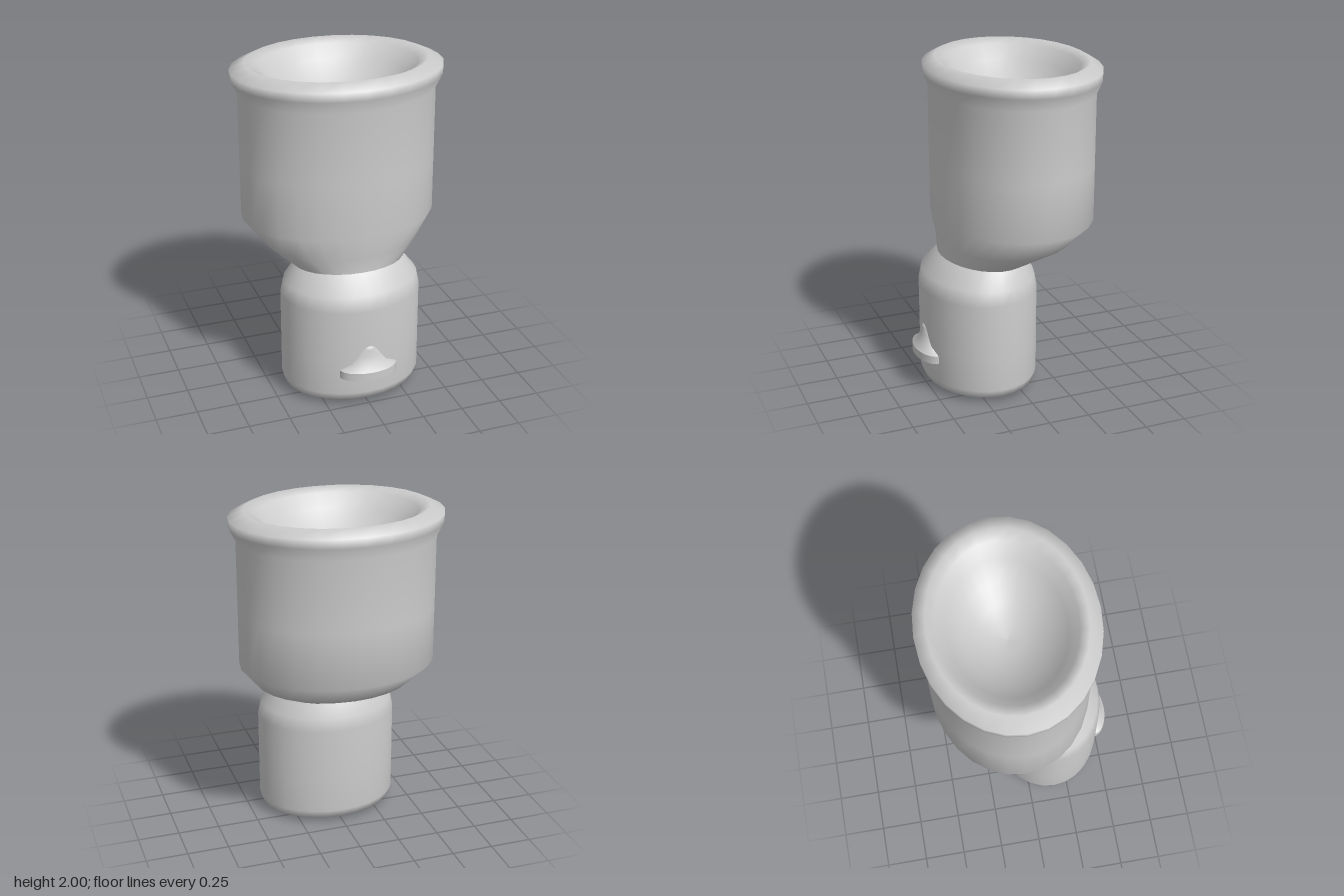
import * as THREE from 'three';

const SEGMENTS = 28;

// Smooth skin over elliptical rings, each [y, halfWidth, frontZ, backZ, frontLift]
function loft(rings) {
  const positions = [], index = [];
  for (const [y, rx, front, back, lift = 0] of rings) {
    const cz = (front + back) / 2, rz = (front - back) / 2;
    for (let i = 0; i < SEGMENTS; i++) {
      const a = (i / SEGMENTS) * Math.PI * 2;
      positions.push(rx * Math.sin(a), y + lift * Math.cos(a), cz + rz * Math.cos(a));
    }
  }
  for (let r = 0; r < rings.length - 1; r++) {
    for (let i = 0; i < SEGMENTS; i++) {
      const j = (i + 1) % SEGMENTS;
      const a = r * SEGMENTS + i, b = r * SEGMENTS + j;
      const c = a + SEGMENTS, d = b + SEGMENTS;
      index.push(a, b, d, a, d, c);
    }
  }
  const geometry = new THREE.BufferGeometry();
  geometry.setAttribute('position', new THREE.Float32BufferAttribute(positions, 3));
  geometry.setIndex(index);
  geometry.computeVertexNormals();
  return geometry;
}

export function createModel() {
  const group = new THREE.Group();
  const grey = new THREE.MeshStandardMaterial({ color: 0xcccccc });
  grey.name = 'light grey';

  const add = (name, rings) => {
    const mesh = new THREE.Mesh(loft(rings), grey);
    mesh.name = name;
    group.add(mesh);
  };

  // Rounded base, set forward of the cup
  add('base', [
    [0, 0, 0.16, 0.16],
    [0, 0.2, 0.32, 0],
    [0.003, 0.34, 0.44, -0.12],
    [0.035, 0.41, 0.49, -0.175],
    [0.085, 0.428, 0.508, -0.19],
    [0.3, 0.428, 0.508, -0.19],
    [0.63, 0.428, 0.508, -0.19],
    [0.715, 0.41, 0.49, -0.175, 0.008],
    [0.81, 0.335, 0.39, -0.13, 0.018],
  ]);

  // Funnel, wall, rolled rim and dished top
  const rimRing = (y, rx) => [y, rx, -0.065 + rx * 0.8, -0.065 - rx * 0.8];
  add('cup', [
    [0.81, 0.335, 0.39, -0.13, 0.018],
    [0.92, 0.48, 0.39, -0.4],
    [1.06, 0.59, 0.413, -0.54],
    [1.4, 0.59, 0.413, -0.54],
    [1.83, 0.59, 0.413, -0.54],
    [1.905, 0.63, 0.442, -0.57],
    [1.96, 0.634, 0.443, -0.571],
    rimRing(2, 0.545),
    rimRing(1.97, 0.48),
    rimRing(1.89, 0.41),
    rimRing(1.81, 0.31),
    rimRing(1.75, 0.2),
    rimRing(1.72, 0.1),
    rimRing(1.71, 0),
  ]);

  // Bell-shaped button on the front: underside, brim, then dome
  add('buttonUnderside', [
    [0.2, 0, 0.47, 0.47],
    [0.2, 0.178, 0.568, 0.372],
  ]);
  add('buttonBrim', [
    [0.2, 0.178, 0.568, 0.372],
    [0.25, 0.178, 0.568, 0.372],
  ]);
  add('buttonDome', [
    [0.25, 0.178, 0.568, 0.372],
    [0.285, 0.115, 0.542, 0.4],
    [0.335, 0.085, 0.524, 0.42],
    [0.375, 0.058, 0.517, 0.43],
    [0.395, 0.03, 0.512, 0.45],
    [0.4, 0, 0.48, 0.48],
  ]);

  return group;
}
